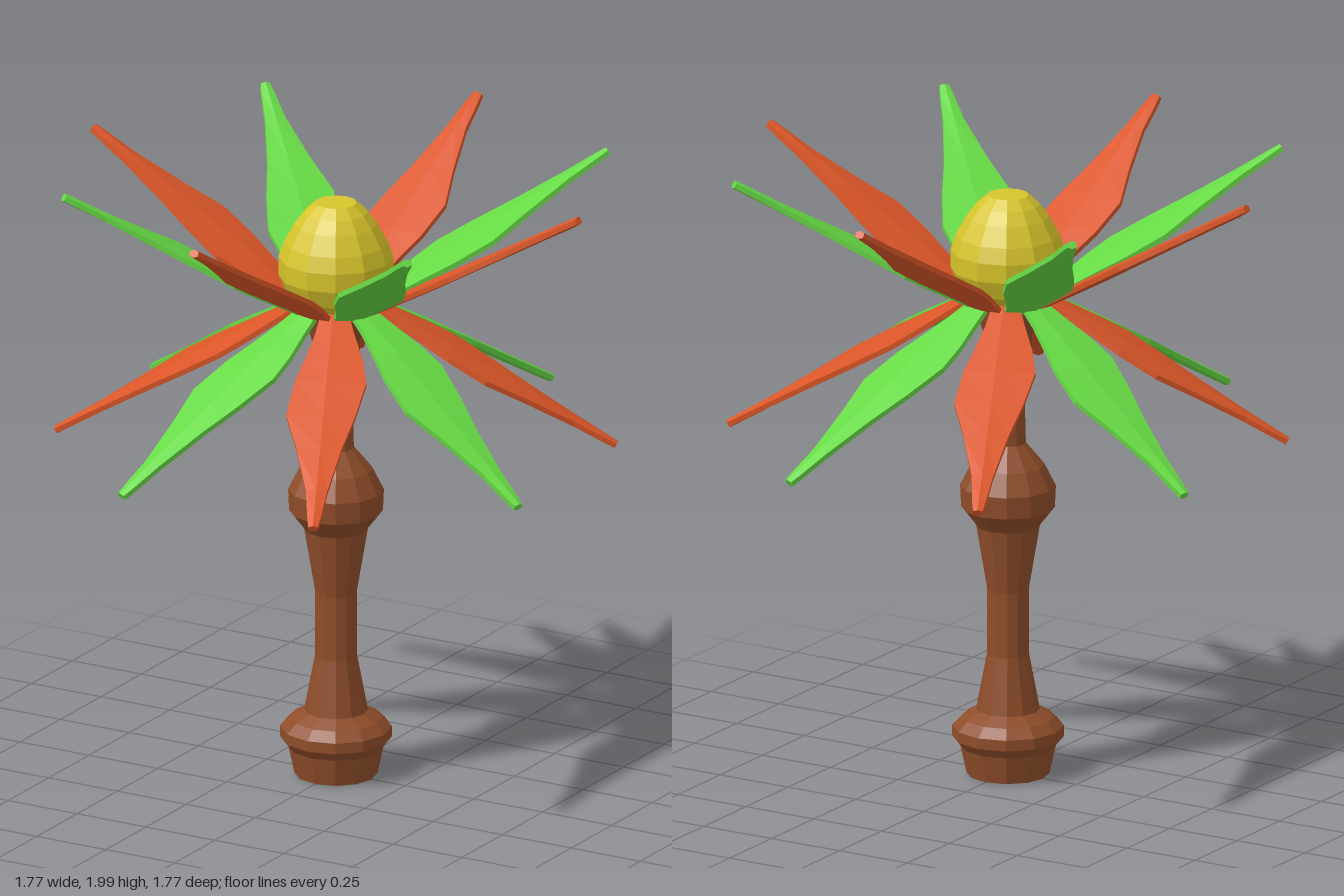
import * as THREE from 'three';

const SIDES = 12;
const TILT = Math.PI / 6;
const RED = 0xdb5628, GREEN = 0x66d944;

const paint = (color) => new THREE.MeshStandardMaterial({ color, flatShading: true });

function turned(name, profile, color) {
  const points = profile.map(([r, y]) => new THREE.Vector2(r, y));
  const mesh = new THREE.Mesh(new THREE.LatheGeometry(points, SIDES), paint(color));
  mesh.name = name;
  return mesh;
}

// Petal along +x: hexagonal cross-sections with a soft ridge on both faces
function petalGeometry() {
  // distance from the axis, half width on the -z side, on the +z side, half thickness at the ridge
  const sections = [
    [0.07, 0.035, 0.03, 0.012],
    [0.19, 0.075, 0.05, 0.014],
    [0.28, 0.108, 0.075, 0.016],
    [0.36, 0.125, 0.1, 0.017],
    [0.48, 0.1, 0.117, 0.016],
    [0.6, 0.066, 0.075, 0.015],
    [0.75, 0.034, 0.033, 0.014],
    [0.84, 0.022, 0.022, 0.014],
    [0.88, 0.015, 0.015, 0.013],
  ];
  const position = [], index = [];
  for (const [r, left, right, h] of sections) {
    const x = r / Math.cos(TILT), edge = 0.008;
    position.push(x, h, 0, x, edge, right, x, -edge, right);
    position.push(x, -h, 0, x, -edge, -left, x, edge, -left);
  }
  const last = (sections.length - 1) * 6;
  for (let base = 0; base < last; base += 6) {
    for (let j = 0; j < 6; j++) {
      const a = base + j, b = base + ((j + 1) % 6);
      index.push(a, b, a + 6, b, b + 6, a + 6);
    }
  }
  // blunt root and tip
  for (let j = 1; j < 5; j++) {
    index.push(0, j + 1, j, last, last + j, last + j + 1);
  }
  const geometry = new THREE.BufferGeometry();
  geometry.setAttribute('position', new THREE.Float32BufferAttribute(position, 3));
  geometry.setIndex(index);
  geometry.computeVertexNormals();
  return geometry;
}

// Ring of eight petals in alternating colours
function petalRing(name, geometry, y, tilt, startDegrees, colors) {
  const ring = new THREE.Group();
  ring.name = name;
  const materials = colors.map(paint);
  for (let i = 0; i < 8; i++) {
    const petal = new THREE.Mesh(geometry, materials[i % 2]);
    petal.name = 'petal';
    petal.position.y = y;
    petal.rotation.order = 'YZX';
    petal.rotation.y = -THREE.MathUtils.degToRad(startDegrees + i * 45);
    petal.rotation.z = tilt;
    ring.add(petal);
  }
  return ring;
}

export function createModel() {
  const model = new THREE.Group();
  model.name = 'flowerStaff';

  // Turned handle with a foot, a knob and a flared collar
  model.add(turned('handle', [
    [0, 0], [0.13, 0], [0.15, 0.09], [0.175, 0.12], [0.175, 0.155], [0.145, 0.185],
    [0.1, 0.21], [0.066, 0.39], [0.065, 0.6], [0.1, 0.81], [0.147, 0.87],
    [0.15, 0.94], [0.115, 1.01], [0.056, 1.08], [0.053, 1.2], [0.074, 1.32],
    [0.075, 1.43], [0.11, 1.54], [0, 1.54],
  ], 0x8f4d2a));

  // Faceted flower head with a flat top
  model.add(turned('flowerHead', [
    [0, 1.53], [0.1, 1.53], [0.155, 1.59], [0.18, 1.65], [0.18, 1.71],
    [0.163, 1.76], [0.13, 1.82], [0.1, 1.86], [0.065, 1.89], [0, 1.89],
  ], 0xd6c42a));

  const geometry = petalGeometry();
  model.add(petalRing('upperPetals', geometry, 1.475, TILT, 0, [RED, GREEN]));
  model.add(petalRing('lowerPetals', geometry, 1.62, -TILT, 19.3, [GREEN, RED]));
  return model;
}
